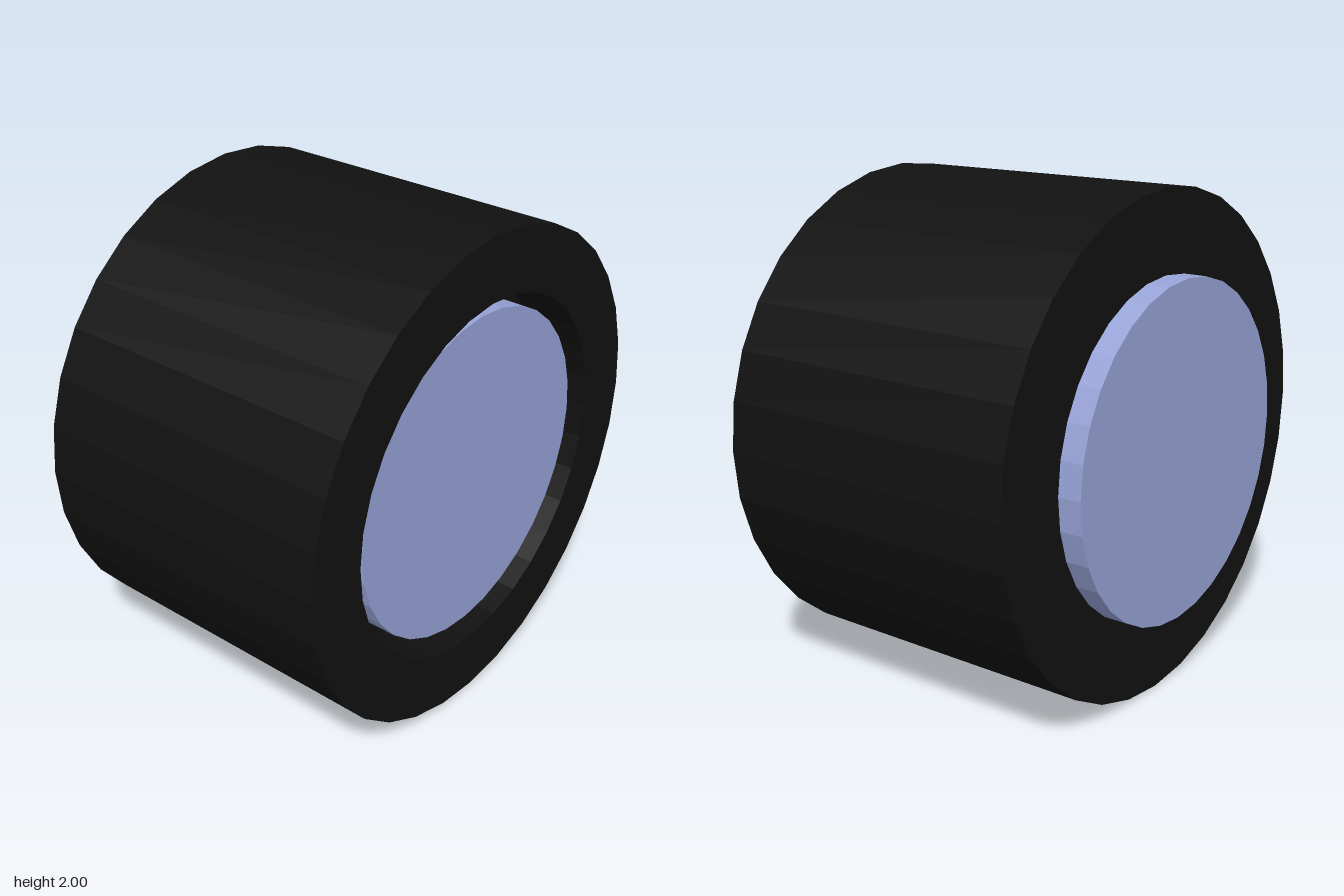
import * as THREE from 'three';

const SIDES = 32;

export function createModel() {
  const wheel = new THREE.Group();
  wheel.name = 'wheel';

  const rubber = new THREE.MeshStandardMaterial({ color: 0x111111, flatShading: true });
  const metal = new THREE.MeshStandardMaterial({ color: 0x98a4d8, flatShading: true });

  // Tyre: wide tread, flat inner wall, recess around the hub on the outer side
  const profile = [
    [0.6, -0.6], [1, -0.6], [1, 0.695], [0.74, 0.695], [0.74, 0.45], [0.6, 0.45],
  ].map(([r, h]) => new THREE.Vector2(r, h));
  const tyre = new THREE.Mesh(new THREE.LatheGeometry(profile, SIDES), rubber);
  tyre.name = 'tyre';

  // Hub drum: sits slightly inside the recess and sticks out of the inner wall
  const outer = 0.65, inner = -0.695;
  const hub = new THREE.Mesh(
    new THREE.CylinderGeometry(0.675, 0.675, outer - inner, SIDES), metal);
  hub.name = 'hub';
  hub.position.y = (outer + inner) / 2;

  // Lay the axle along x
  const axle = new THREE.Group();
  axle.name = 'axle';
  axle.add(tyre, hub);
  axle.rotation.z = -Math.PI / 2;
  axle.position.y = 1;
  wheel.add(axle);
  return wheel;
}
